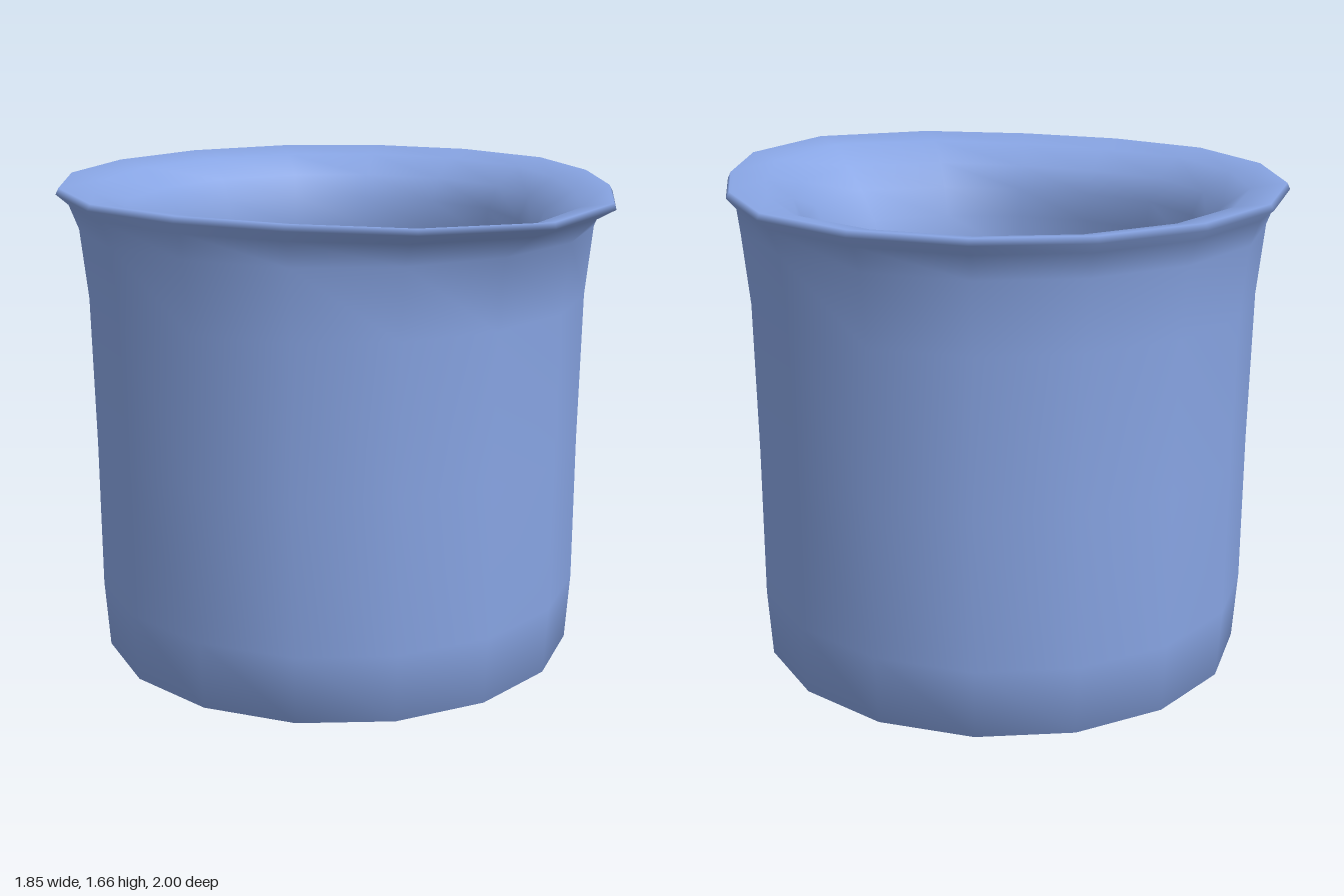
import * as THREE from 'three';
import { mergeVertices } from 'three/addons/utils/BufferGeometryUtils.js';

// Closed wall profile: radius, height, how far the spout pushes it out.
// Runs from under the base, up the outside, over the lip and down the inside.
const PROFILE = [
  [0, 0, 0], [0.36, 0.003, 0], [0.69, 0.015, 0], [0.81, 0.07, 0], [0.825, 0.3, 0],
  [0.825, 0.8, 0], [0.832, 1.3, 0], [0.855, 1.53, 0], [0.885, 1.61, 0.1], [0.925, 1.645, 0.145],
  [0.915, 1.665, 0.15], [0.8, 1.645, 0.17], [0.71, 1.58, 0.17], [0.67, 1.5, 0.13], [0.66, 1.4, 0.06],
  [0.665, 1.25, 0.01], [0.665, 0.8, 0], [0.66, 0.3, 0], [0.6, 0.19, 0], [0.36, 0.16, 0], [0, 0.16, 0],
];
const SIDES = 16;
// Spout strength by steps away from the front; the lip pinches in beside it
const SPOUT = [1, 0.52, -0.1, -0.2];

export function createModel() {
  const group = new THREE.Group();

  // Round body
  let geometry = new THREE.LatheGeometry(PROFILE.map(([r, y]) => new THREE.Vector2(r, y)), SIDES);
  const pos = geometry.attributes.position;

  // Pull the lip forward into a pouring spout
  for (let i = 0; i < pos.count; i++) {
    const step = Math.floor(i / PROFILE.length);
    const [r, , push] = PROFILE[i % PROFILE.length];
    const fromFront = Math.min(step, SIDES - step);
    const radius = r + push * (SPOUT[fromFront] ?? 0);
    const angle = (step / SIDES) * Math.PI * 2;
    pos.setX(i, Math.sin(angle) * radius);
    pos.setZ(i, Math.cos(angle) * radius - 0.072);
  }

  // Weld the seam so the shading is smooth all round
  geometry.deleteAttribute('uv');
  geometry.deleteAttribute('normal');
  geometry = mergeVertices(geometry, 1e-4);
  geometry.computeVertexNormals();

  const beaker = new THREE.Mesh(geometry, new THREE.MeshStandardMaterial({ color: 0x88a5e4 }));
  beaker.name = 'beakerWithSpout';
  group.add(beaker);
  return group;
}
